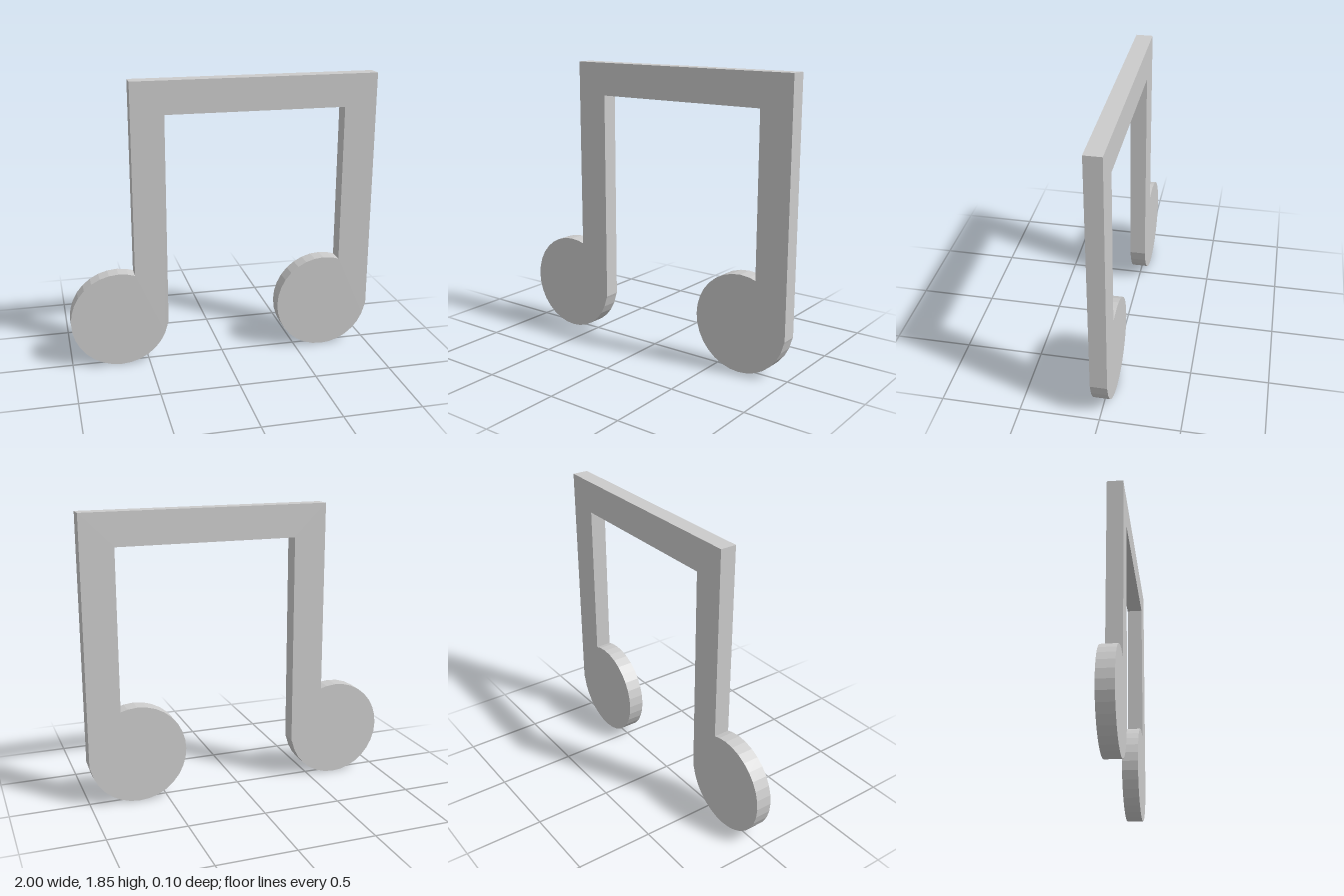
import * as THREE from 'three';

const RADIUS = 0.315;     // note head
const HEAD_X = 0.685;     // head centres at +-HEAD_X
const STEM_IN = 0.105;    // stem's inner side, measured from the head centre
const BEAM_TOP = 1.85;
const BEAM_BOTTOM = 1.64;
const DEPTH = 0.105;
const SIDES = 32;

// Round note head, counter-clockwise from the stem's left side to its right side
function headOutline(cx) {
  const points = [new THREE.Vector2(cx + STEM_IN, 0.612)];
  for (let i = 7; i < SIDES; i++) {
    const a = (i / SIDES) * Math.PI * 2;
    points.push(new THREE.Vector2(cx + RADIUS * Math.cos(a), RADIUS + RADIUS * Math.sin(a)));
  }
  points.push(new THREE.Vector2(cx + RADIUS, 0.27));
  return points;
}

export function createModel() {
  const group = new THREE.Group();
  group.name = 'musicNote';

  // Two heads and stems joined by a straight beam, as one flat outline
  const outline = [
    ...headOutline(-HEAD_X),
    new THREE.Vector2(-HEAD_X + RADIUS, BEAM_BOTTOM),
    new THREE.Vector2(HEAD_X + STEM_IN, BEAM_BOTTOM),
    ...headOutline(HEAD_X),
    new THREE.Vector2(HEAD_X + RADIUS, BEAM_TOP),
    new THREE.Vector2(-HEAD_X + STEM_IN, BEAM_TOP),
  ];
  const geometry = new THREE.ExtrudeGeometry(new THREE.Shape(outline), {
    depth: DEPTH,
    bevelEnabled: false,
  });
  geometry.translate(0, 0, -DEPTH / 2);

  const material = new THREE.MeshStandardMaterial({ color: 0xcccccc, flatShading: true });
  const notes = new THREE.Mesh(geometry, material);
  notes.name = 'beamedNotes';
  group.add(notes);
  return group;
}
